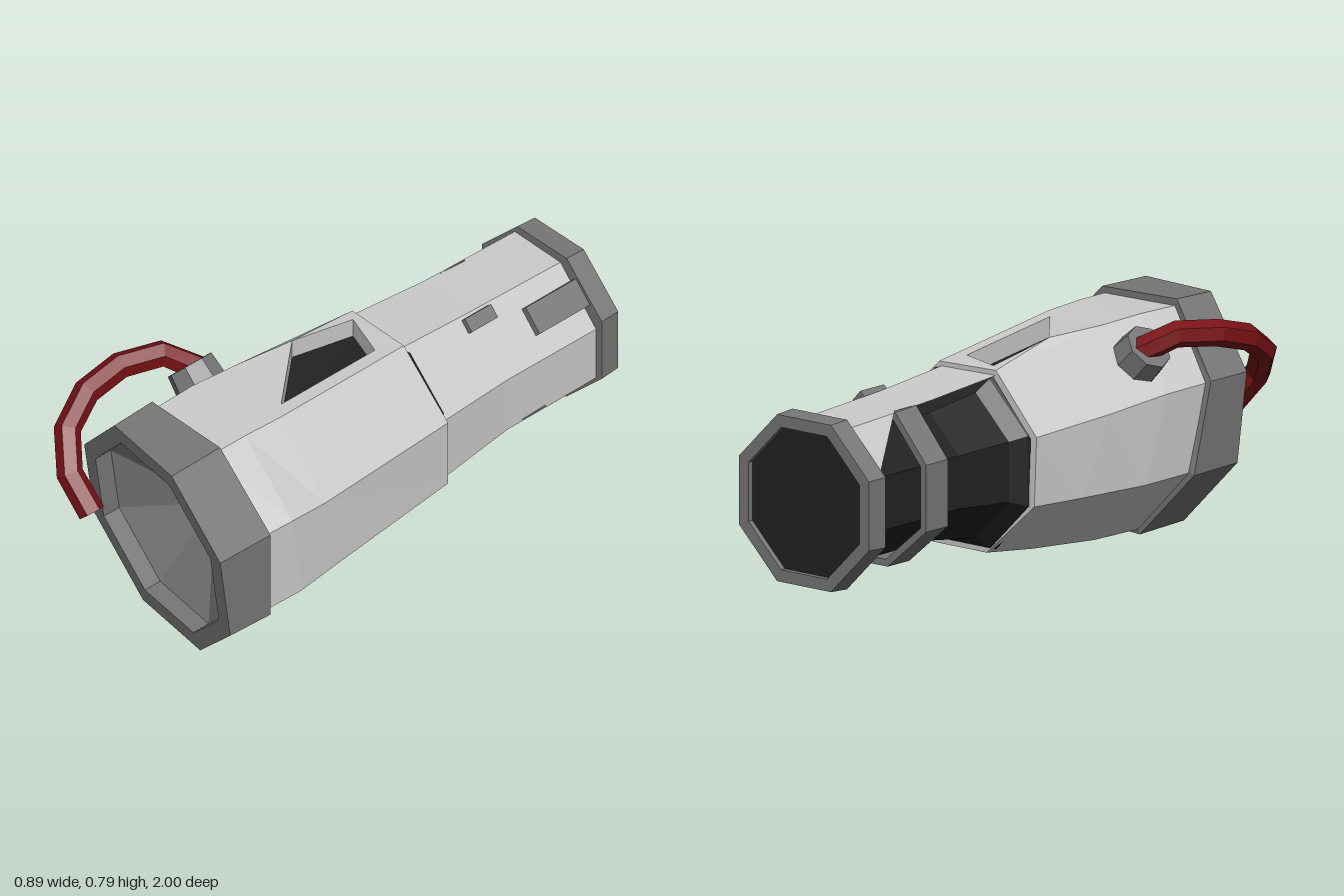
import * as THREE from 'three';

const mat = (color) => new THREE.MeshStandardMaterial({ color, flatShading: true, side: THREE.DoubleSide });
const V = (x, y, z) => new THREE.Vector3(x, y, z);

// Octagon order: clockwise seen from the front, starting at the top left corner
const ring = (xy, z) => xy.map(([x, y], i) => V(x, y, Array.isArray(z) ? z[i] : z));
const octagon = (cx, cy, r) => Array.from({ length: 8 }, (_, i) => {
  const a = (112.5 - 45 * i) * Math.PI / 180;
  return [cx + r * Math.cos(a), cy + r * Math.sin(a)];
});
const scaled = (pts, s, c, dz = 0) => pts.map((p) =>
  V(c.x + (p.x - c.x) * s, c.y + (p.y - c.y) * s, p.z + dz));

// Skin between successive rings; keep(i, j) can leave out quads
function loft(rings, keep = () => true, closed = true) {
  const out = [];
  for (let i = 0; i < rings.length - 1; i++) {
    const n = rings[i].length;
    for (let j = 0; j < (closed ? n : n - 1); j++) {
      if (!keep(i, j)) continue;
      const k = (j + 1) % n;
      const a = rings[i][j], b = rings[i][k], c = rings[i + 1][k], d = rings[i + 1][j];
      for (const p of [a, b, c, a, c, d]) out.push(p.x, p.y, p.z);
    }
  }
  const g = new THREE.BufferGeometry();
  g.setAttribute('position', new THREE.Float32BufferAttribute(out, 3));
  g.computeVertexNormals();
  return g;
}

export function createModel() {
  const group = new THREE.Group();
  const light = mat(0xcccccc), grey = mat(0x777777), dark = mat(0x222222), red = mat(0x7a1216);
  const add = (name, geometry, material) => {
    const m = new THREE.Mesh(geometry, material);
    m.name = name;
    group.add(m);
    return m;
  };

  // Muzzle rim with a slanted front and a concave inner cone
  const rimXY = [[-0.13, 0.795], [0.2, 0.787], [0.44, 0.55], [0.44, 0.215],
    [0.23, 0.003], [-0.1, 0.01], [-0.34, 0.25], [-0.345, 0.56]];
  const slant = (x, y) => 0.945 + 0.137 * (x - 0.2 + y - 0.787);
  const centre = V(0.045, 0.4, 0);
  const rimFront = rimXY.map(([x, y]) => V(x, y, slant(x, y)));
  const rimBack = ring(rimXY, [0.725, 0.725, 0.72, 0.72, 0.65, 0.57, 0.57, 0.65]);
  const mouth = scaled(rimFront, 0.83, centre).map((p) => V(p.x, p.y, slant(p.x, p.y)));
  const apex = mouth.map(() => V(0.045, 0.4, 0.6));
  add('muzzleRim', loft([apex, scaled(mouth, 1, centre, -0.07), mouth,
    scaled(rimFront, 0.985, centre), scaled(rimBack, 1, centre), scaled(rimBack, 0.9, centre)]), grey);

  // Main body shell
  const sections = [
    ring([[-0.12, 0.77], [0.19, 0.765], [0.42, 0.54], [0.42, 0.225], [0.215, 0.02], [-0.09, 0.025], [-0.315, 0.255], [-0.32, 0.55]],
      [0.76, 0.76, 0.76, 0.76, 0.69, 0.61, 0.61, 0.69]),
    ring([[-0.12, 0.775], [0.19, 0.765], [0.43, 0.545], [0.43, 0.23], [0.215, 0.02], [-0.09, 0.03], [-0.32, 0.255], [-0.325, 0.55]],
      [0.55, 0.6, 0.61, 0.57, 0.45, 0.35, 0.35, 0.45]),
    ring([[-0.11, 0.768], [0.19, 0.757], [0.41, 0.52], [0.41, 0.235], [0.2, 0.05], [-0.08, 0.055], [-0.305, 0.265], [-0.315, 0.53]],
      [0.37, 0.44, 0.44, 0.38, 0.17, 0.04, 0.04, 0.16]),
    ring([[-0.11, 0.712], [0.14, 0.705], [0.355, 0.5], [0.355, 0.245], [0.17, 0.08], [-0.07, 0.08], [-0.28, 0.27], [-0.29, 0.51]], -0.175),
  ];
  const bodyEnd = sections[3], knee = sections[2];
  add('bodyShell', loft([...sections, scaled(bodyEnd, 0.92, V(0.035, 0.39, 0))],
    (i, j) => !(i === 2 && j === 0)), light);

  // Top panel with a slanted window sunk into it
  const panel = [bodyEnd[1], bodyEnd[0], knee[0], knee[1]];
  const hole = [V(0.1, 0.714, -0.08), V(-0.07, 0.716, -0.14), V(-0.08, 0.764, 0.13), V(0.137, 0.754, 0.385)];
  const sunk = hole.map((p) => V(p.x, p.y - 0.07, p.z));
  add('topPanel', loft([panel, hole, sunk]), light);
  add('windowFloor', loft([sunk, sunk.map(() => V(0.03, 0.665, 0.08))]), dark);

  // Dark inner core, flaring into the body
  const core = [[-0.15, 0.3], [-0.18, 0.29], [-0.23, 0.25], [-0.45, 0.22], [-0.95, 0.225]]
    .map(([z, h]) => ring(octagon(0.035, 0.39, h / Math.cos(Math.PI / 8)), z));
  add('innerCore', loft(core), dark);

  // Rear cover: three long panels with a corner gusset on each side
  const cover = [
    ring([[-0.11, 0.695], [0.13, 0.69], [0.33, 0.49], [0.33, 0.25]], -0.17),
    ring([[-0.105, 0.668], [0.12, 0.665], [0.297, 0.475], [0.297, 0.265]], -0.5),
    ring([[-0.11, 0.65], [0.112, 0.645], [0.285, 0.46], [0.285, 0.255]], -0.93),
  ];
  add('rearCover', loft(cover, undefined, false), light);
  const gusset = (name, a, b, c) => add(name, new THREE.BufferGeometry().setFromPoints([a, b, c]), light)
    .geometry.computeVertexNormals();
  gusset('upperGusset', V(-0.107, 0.66, -0.69), V(-0.24, 0.47, -0.93), V(-0.11, 0.65, -0.93));
  gusset('lowerGusset', V(0.292, 0.26, -0.69), V(0.285, 0.255, -0.93), V(0.14, 0.13, -0.93));

  // Strap bridging the open side of the rear section
  const strapXY = [[-0.1, 0.665], [-0.24, 0.5], [-0.24, 0.27], [-0.07, 0.125], [0.13, 0.125], [0.297, 0.27]];
  const inner = strapXY.map(([x, y]) => [0.03 + (x - 0.03) * 0.91, 0.39 + (y - 0.39) * 0.91]).reverse();
  const strap = new THREE.Shape([...strapXY, ...inner].map(([x, y]) => new THREE.Vector2(x, y)));
  add('strap', new THREE.ExtrudeGeometry(strap, { depth: 0.11, bevelEnabled: false }), grey).position.z = -0.68;

  // Rear collar and dark end cap
  const oct = (r, z) => ring(octagon(0.022, 0.387, r), z);
  add('rearCollar', loft([oct(0.24, -0.92), oct(0.315, -0.92), oct(0.31, -1), oct(0.265, -1), oct(0.265, -0.98)]), grey);
  add('rearCap', loft([oct(0.265, -0.98), oct(0, -0.98)]), dark);

  // Small blocks on the upper left facet
  for (const [name, w, h, d, x, y, z] of [
    ['largeBlock', 0.1, 0.05, 0.24, 0.203, 0.565, -0.81],
    ['smallBlock', 0.05, 0.04, 0.12, 0.148, 0.642, -0.51]]) {
    const block = add(name, new THREE.BoxGeometry(w, h, d), grey);
    block.position.set(x, y, z);
    block.rotation.z = -0.82;
  }

  // Hose socket and the faceted hose curling over the rim
  const socket = add('hoseSocket', new THREE.CylinderGeometry(0.085, 0.095, 0.1, 8), grey);
  socket.position.set(-0.235, 0.675, 0.42);
  socket.rotation.z = 0.8;
  const path = new THREE.CatmullRomCurve3([V(-0.24, 0.69, 0.39), V(-0.33, 0.75, 0.47), V(-0.405, 0.735, 0.65),
    V(-0.39, 0.66, 0.85), V(-0.3, 0.54, 0.95), V(-0.185, 0.415, 0.95)]);
  const pos = new THREE.TubeGeometry(path, 6, 0.046, 6).attributes.position;
  const hoseRings = Array.from({ length: 7 }, (_, i) => Array.from({ length: 6 }, (_, j) =>
    new THREE.Vector3().fromBufferAttribute(pos, i * 7 + j)));
  const cap = (t) => Array(6).fill(path.getPointAt(t));
  add('hose', loft([cap(0), ...hoseRings, cap(1)]), red);

  return group;
}
